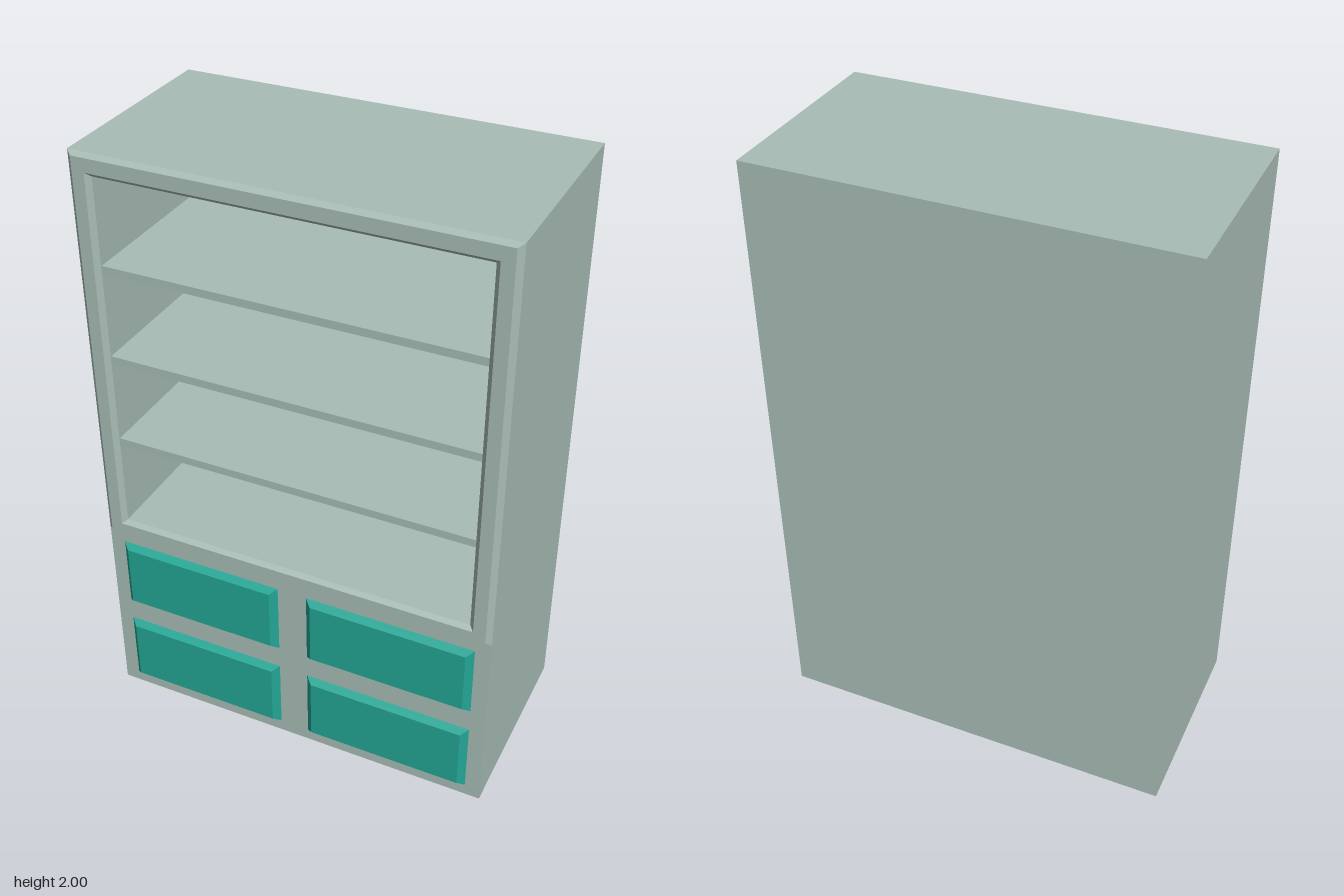
import * as THREE from 'three';

const HALF_W = 0.665, BACK = -0.343, FRONT = 0.322;

// Rectangle cross-section: x range, y range, depth z
const rect = (x0, x1, y0, y1, z) => [[x0, y0, z], [x1, y0, z], [x1, y1, z], [x0, y1, z]];

// Joins successive rectangles with flat quads; sides are 0 bottom, 1 right, 2 top, 3 left
function loft(rings, { capStart = false, capEnd = false, sides = [0, 1, 2, 3] } = {}) {
  const pos = [];
  const quad = (a, b, c, d) => pos.push(...a, ...b, ...c, ...a, ...c, ...d);
  for (let r = 0; r < rings.length - 1; r++) {
    const a = rings[r], b = rings[r + 1];
    for (const i of sides) {
      const j = (i + 1) % 4;
      quad(a[i], a[j], b[j], b[i]);
    }
  }
  if (capStart) quad(...[...rings[0]].reverse());
  if (capEnd) quad(...rings[rings.length - 1]);
  const geo = new THREE.BufferGeometry();
  geo.setAttribute('position', new THREE.Float32BufferAttribute(pos, 3));
  geo.computeVertexNormals();
  return geo;
}

export function createModel() {
  const group = new THREE.Group();
  const paint = new THREE.MeshStandardMaterial({ color: 0xa8bcb6, side: THREE.DoubleSide });
  paint.name = 'greyGreenPaint';
  const teal = new THREE.MeshStandardMaterial({ color: 0x22a594, side: THREE.DoubleSide });
  teal.name = 'tealDrawerPaint';
  const add = (name, geo, mat) => {
    const mesh = new THREE.Mesh(geo, mat);
    mesh.name = name;
    group.add(mesh);
    return mesh;
  };

  // Outer case: back, top and sides, open underneath
  add('caseShell', loft([
    rect(-HALF_W, HALF_W, 0, 2, BACK),
    rect(-HALF_W, HALF_W, 0, 2, FRONT),
  ], { capStart: true, sides: [1, 2, 3] }), paint);

  // Raised bevelled frame running back into the shelf compartment
  add('upperFrameAndCompartment', loft([
    rect(-HALF_W, HALF_W, 0.672, 2, FRONT),
    rect(-0.648, 0.648, 0.685, 1.988, 0.337),
    rect(-0.608, 0.608, 0.715, 1.944, 0.337),
    rect(-0.593, 0.593, 0.727, 1.93, FRONT),
    rect(-0.593, 0.593, 0.727, 1.93, -0.32),
  ], { capEnd: true }), paint);

  // Shelves
  for (const y of [1.033, 1.333, 1.638]) {
    add('shelf', new THREE.BoxGeometry(1.186, 0.026, 0.64), paint).position.set(0, y, 0);
  }

  // Lower face with four drawer openings
  const face = new THREE.Shape([
    [-HALF_W, 0], [HALF_W, 0], [HALF_W, 0.672], [-HALF_W, 0.672],
  ].map(([x, y]) => new THREE.Vector2(x, y)));

  for (const side of [-1, 1]) {
    for (const y of [0.042, 0.376]) {
      const xs = [side * 0.05, side * 0.614].sort((a, b) => a - b);
      const [x0, x1] = xs, top = y + 0.252;
      face.holes.push(new THREE.Path([
        [x0, y], [x0, top], [x1, top], [x1, y],
      ].map(([px, py]) => new THREE.Vector2(px, py))));
      // Bevelled drawer front
      add('drawerFront', loft([
        rect(x0, x1, y, top, FRONT),
        rect(x0 + 0.022, x1 - 0.022, y + 0.018, top - 0.016, 0.343),
      ], { capEnd: true }), teal);
    }
  }
  add('lowerFace', new THREE.ShapeGeometry(face), paint).position.z = FRONT;

  return group;
}
